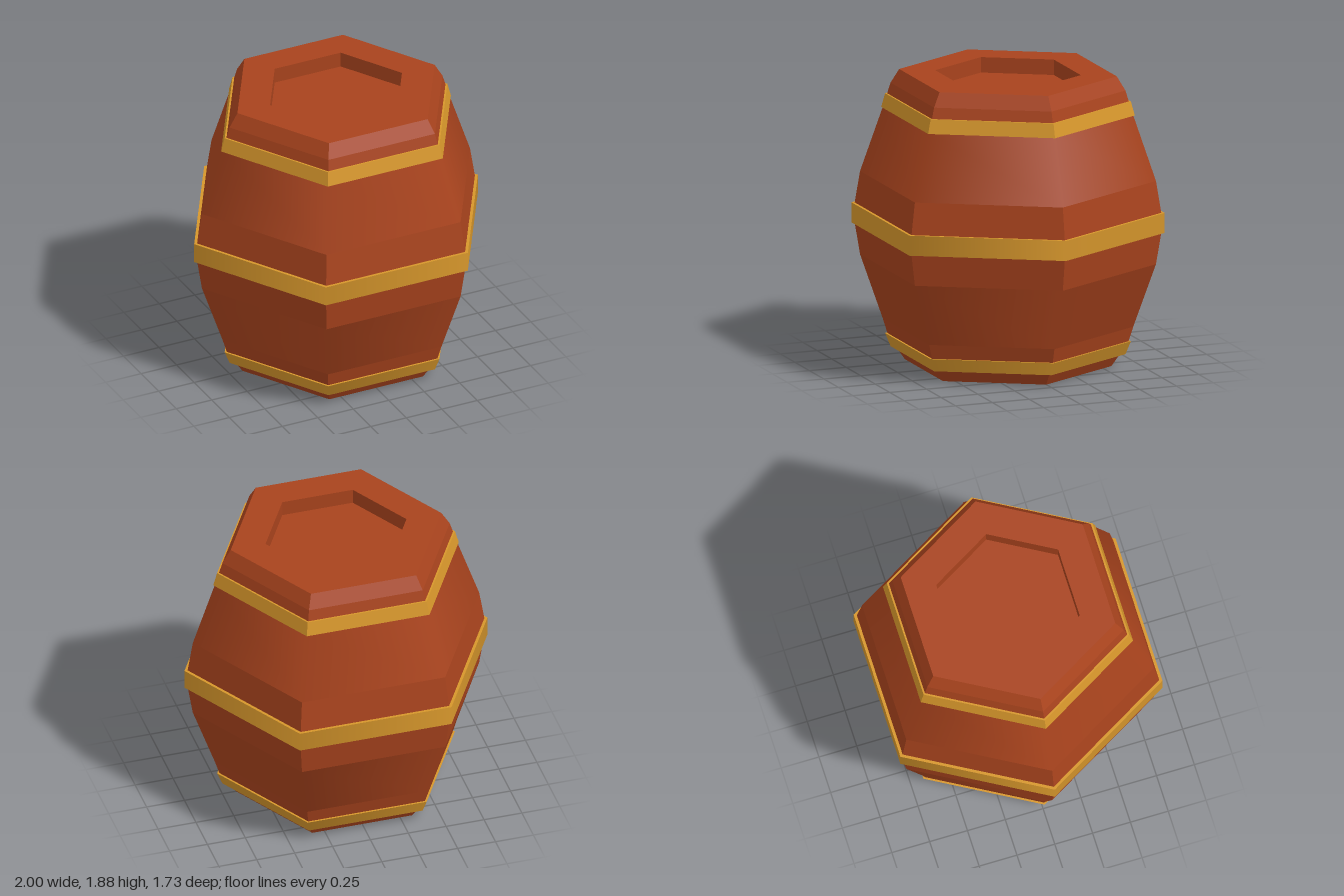
import * as THREE from 'three';

const wood = new THREE.MeshStandardMaterial({ color: 0xa8431d });
const brass = new THREE.MeshStandardMaterial({ color: 0xd6962b });
const flat = (material) => {
  const m = material.clone();
  m.flatShading = true;
  return m;
};
const woodFlat = flat(wood);
const brassFlat = flat(brass);

// Six-sided ring swept through [radius, y] points, with corners on the x axis
function hexBand(name, points, material) {
  const profile = points.map(([r, y]) => new THREE.Vector2(r, y));
  const mesh = new THREE.Mesh(new THREE.LatheGeometry(profile, 6, Math.PI / 2), material);
  mesh.name = name;
  return mesh;
}

// Hoop: outer face plus the flat rims that close it against the staves
function hoop(name, y0, y1, outer0, outer1, inner0, inner1, faceMaterial) {
  const group = new THREE.Group();
  group.name = name;
  group.add(
    hexBand('hoopLowerRim', [[inner0, y0], [outer0, y0]], brassFlat),
    hexBand('hoopFace', [[outer0, y0], [outer1, y1]], faceMaterial),
    hexBand('hoopUpperRim', [[outer1, y1], [inner1, y1]], brassFlat)
  );
  return group;
}

export function createModel() {
  const barrel = new THREE.Group();
  barrel.name = 'barrel';

  // Staves: crisp bands at the ends and the belly, softly shaded bands between
  barrel.add(
    hexBand('barrelBottom', [[0, 0], [0.66, 0]], woodFlat),
    hexBand('lowerEndStaves', [[0.66, 0], [0.715, 0.08], [0.77, 0.165], [0.8, 0.26]], woodFlat),
    hexBand('lowerStaves', [[0.8, 0.26], [0.945, 0.67]], wood),
    hexBand('bellyStaves', [[0.945, 0.67], [0.98, 0.88], [0.98, 1], [0.945, 1.21]], woodFlat),
    hexBand('upperStaves', [[0.945, 1.21], [0.8, 1.63]], wood),
    hexBand('upperEndStaves', [[0.8, 1.63], [0.75, 1.79], [0.695, 1.88]], woodFlat)
  );

  // Lid with a sunken hexagonal panel
  barrel.add(
    hexBand('lidRim', [[0.695, 1.88], [0.465, 1.88]], woodFlat),
    hexBand('lidRecess', [[0.465, 1.88], [0.465, 1.78], [0, 1.78]], woodFlat)
  );

  // Hoops
  barrel.add(
    hoop('lowerHoop', 0.08, 0.165, 0.75, 0.785, 0.7, 0.76, brass),
    hoop('middleHoop', 0.875, 1.005, 1, 1, 0.97, 0.97, brass),
    hoop('upperHoop', 1.63, 1.72, 0.81, 0.785, 0.79, 0.76, brassFlat)
  );
  return barrel;
}
